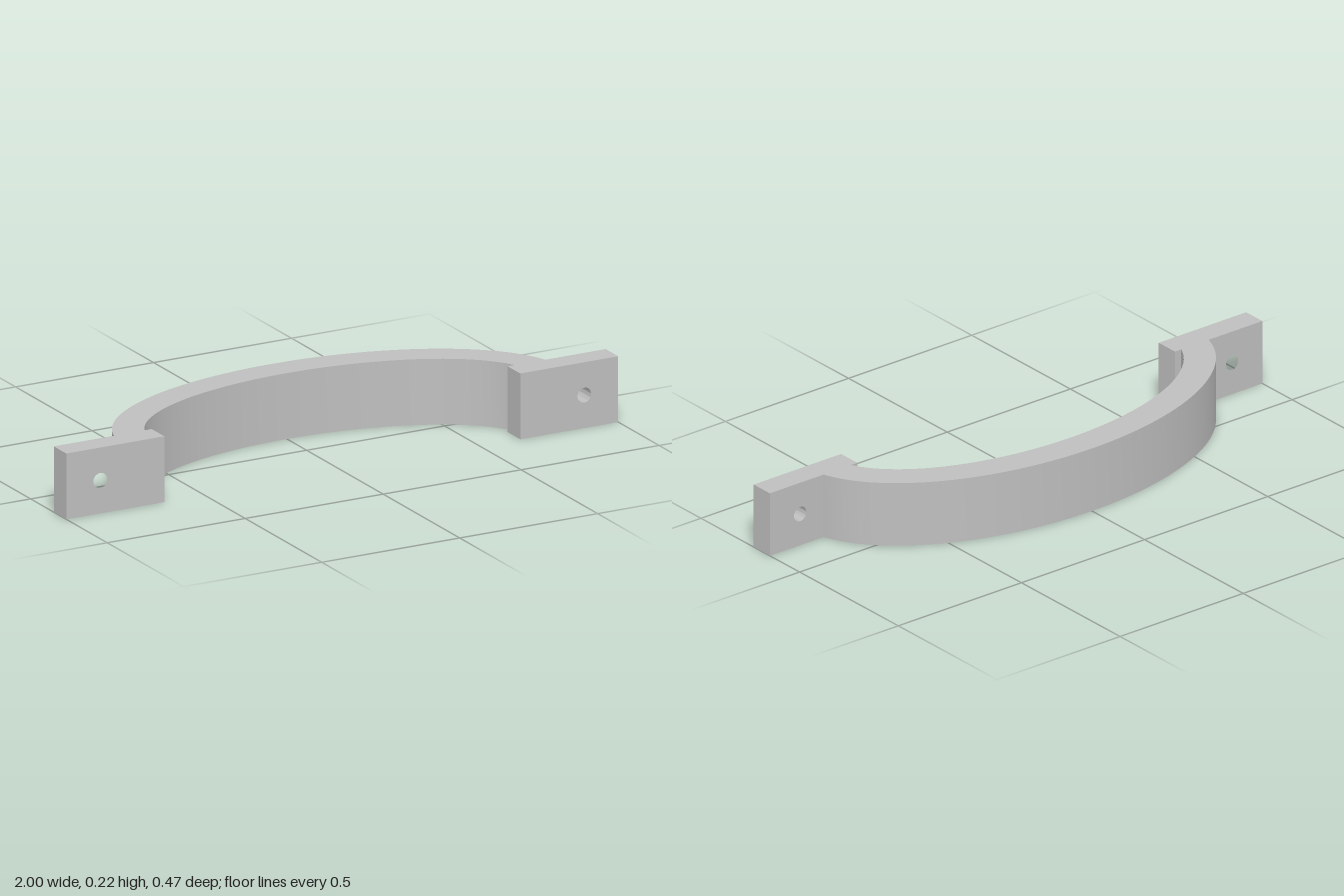
import * as THREE from 'three';
import { toCreasedNormals } from 'three/addons/utils/BufferGeometryUtils.js';

const HEIGHT = 0.22;
const FRONT = 0.233; // front face of the pads and centre of the ellipses
const PAD_BACK = 0.151;

function extrude(shape, depth) {
  const geometry = new THREE.ExtrudeGeometry(shape, { depth, bevelEnabled: false, curveSegments: 32 });
  return toCreasedNormals(geometry, Math.PI / 6);
}

// Elliptical arc cut off where it meets the back of the pads (shape y is -z)
function arcPoints(a, b, steps = 72) {
  const start = Math.asin((FRONT - PAD_BACK) / b);
  return Array.from({ length: steps + 1 }, (_, i) => {
    const t = start + (Math.PI - 2 * start) * (i / steps);
    return new THREE.Vector2(a * Math.cos(t), b * Math.sin(t) - FRONT);
  });
}

export function createModel() {
  const model = new THREE.Group();
  model.name = 'pullHandle';
  const grey = new THREE.MeshStandardMaterial({ color: 0xbfbfbf });
  grey.name = 'grey';

  // Curved grip
  const outline = new THREE.Shape([...arcPoints(0.794, 0.466), ...arcPoints(0.688, 0.362).reverse()]);
  const grip = new THREE.Mesh(extrude(outline, HEIGHT).rotateX(-Math.PI / 2), grey);
  grip.name = 'grip';
  model.add(grip);

  // Mounting pads with a screw hole through each
  for (const [side, name] of [[1, 'leftPad'], [-1, 'rightPad']]) {
    const inner = 0.645 * side;
    const shape = new THREE.Shape();
    shape.moveTo(inner, 0);
    shape.lineTo(side, 0);
    shape.lineTo(side, HEIGHT);
    shape.lineTo(inner, HEIGHT);
    shape.closePath();
    const hole = new THREE.Path();
    hole.absarc(0.877 * side, HEIGHT / 2, 0.025, 0, Math.PI * 2, true);
    shape.holes.push(hole);
    const pad = new THREE.Mesh(extrude(shape, FRONT - PAD_BACK).translate(0, 0, PAD_BACK), grey);
    pad.name = name;
    model.add(pad);
  }
  return model;
}
